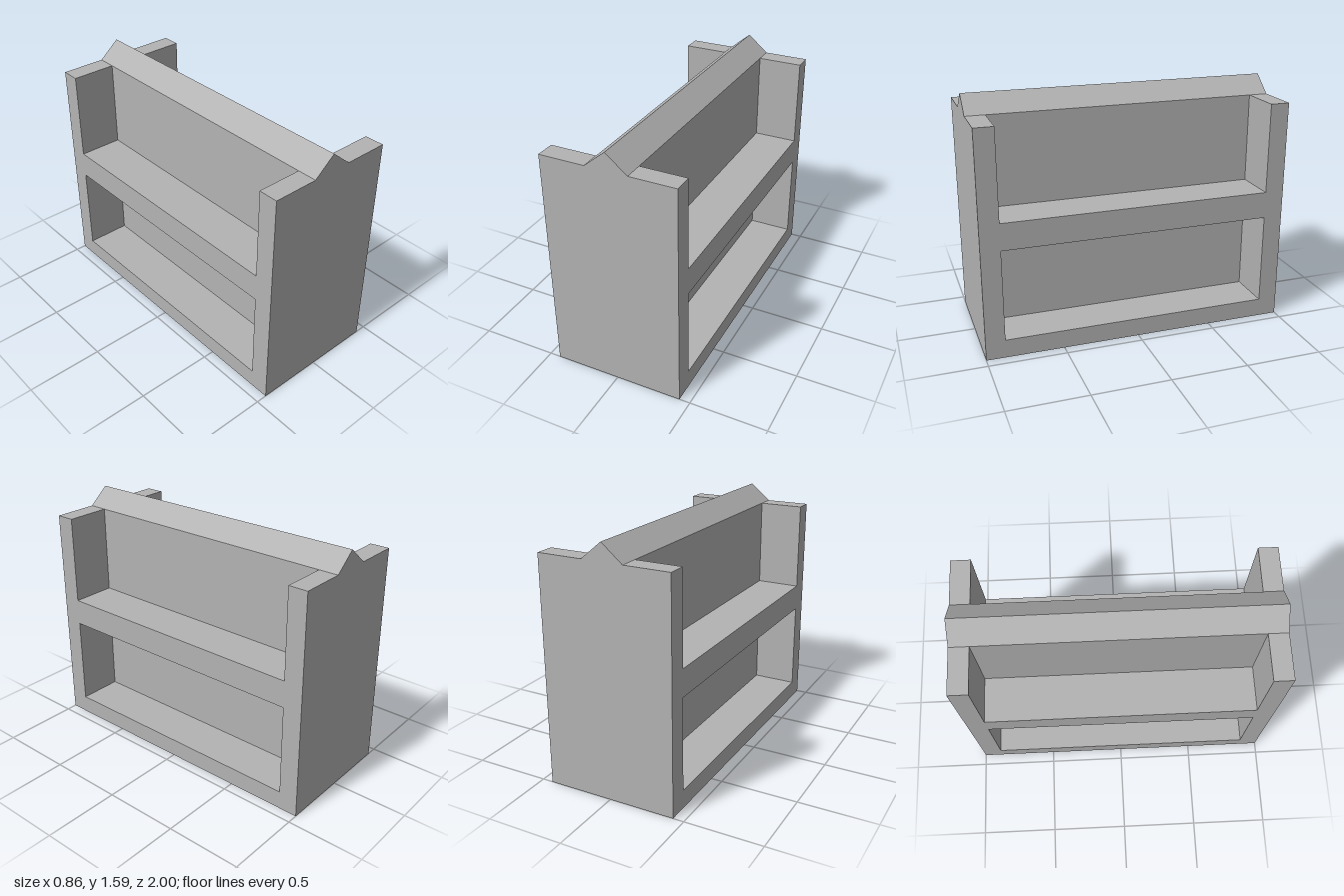
import * as THREE from 'three';

const HALF_LENGTH = 1;       // along z
const HALF_WIDTH = 0.43;     // along x
const WALL_X = 0.135;        // half thickness of the central wall
const TOP = 1.475;           // top of the end panels
const RIDGE = 1.587;         // peak of the ridge
const BAY_Z = 0.875;         // half length of each bay
const LOWER_BAY = [0.12, 0.715];
const SHELF_TOP = 0.89;

const shapeFrom = (points) => new THREE.Shape(points.map(([x, y]) => new THREE.Vector2(x, y)));

export function createModel() {
  const group = new THREE.Group();
  const grey = new THREE.MeshStandardMaterial({ color: 0xb3b3b3 });
  grey.name = 'plain grey';

  // Central wall with its pointed ridge, running the full length
  const wallShape = shapeFrom([
    [-WALL_X, 0], [WALL_X, 0], [WALL_X, TOP], [0, RIDGE], [-WALL_X, TOP],
  ]);
  const wallGeometry = new THREE.ExtrudeGeometry(wallShape, { depth: 2 * HALF_LENGTH, bevelEnabled: false });
  wallGeometry.translate(0, 0, -HALF_LENGTH);
  const wall = new THREE.Mesh(wallGeometry, grey);
  wall.name = 'centralWall';
  group.add(wall);

  // Side frame: end panels, base and shelf around an open upper bay and a closed lower bay
  const frameShape = shapeFrom([
    [-HALF_LENGTH, 0], [HALF_LENGTH, 0], [HALF_LENGTH, TOP], [BAY_Z, TOP],
    [BAY_Z, SHELF_TOP], [-BAY_Z, SHELF_TOP], [-BAY_Z, TOP], [-HALF_LENGTH, TOP],
  ]);
  const [low, high] = LOWER_BAY;
  frameShape.holes.push(shapeFrom([[-BAY_Z, low], [-BAY_Z, high], [BAY_Z, high], [BAY_Z, low]]));
  const frameGeometry = new THREE.ExtrudeGeometry(frameShape, { depth: HALF_WIDTH - WALL_X, bevelEnabled: false });
  frameGeometry.rotateY(Math.PI / 2);

  // The same frame sits on both sides of the wall
  for (const [name, x] of [['leftShelfFrame', WALL_X], ['rightShelfFrame', -HALF_WIDTH]]) {
    const frame = new THREE.Mesh(frameGeometry, grey);
    frame.name = name;
    frame.position.x = x;
    group.add(frame);
  }

  return group;
}
